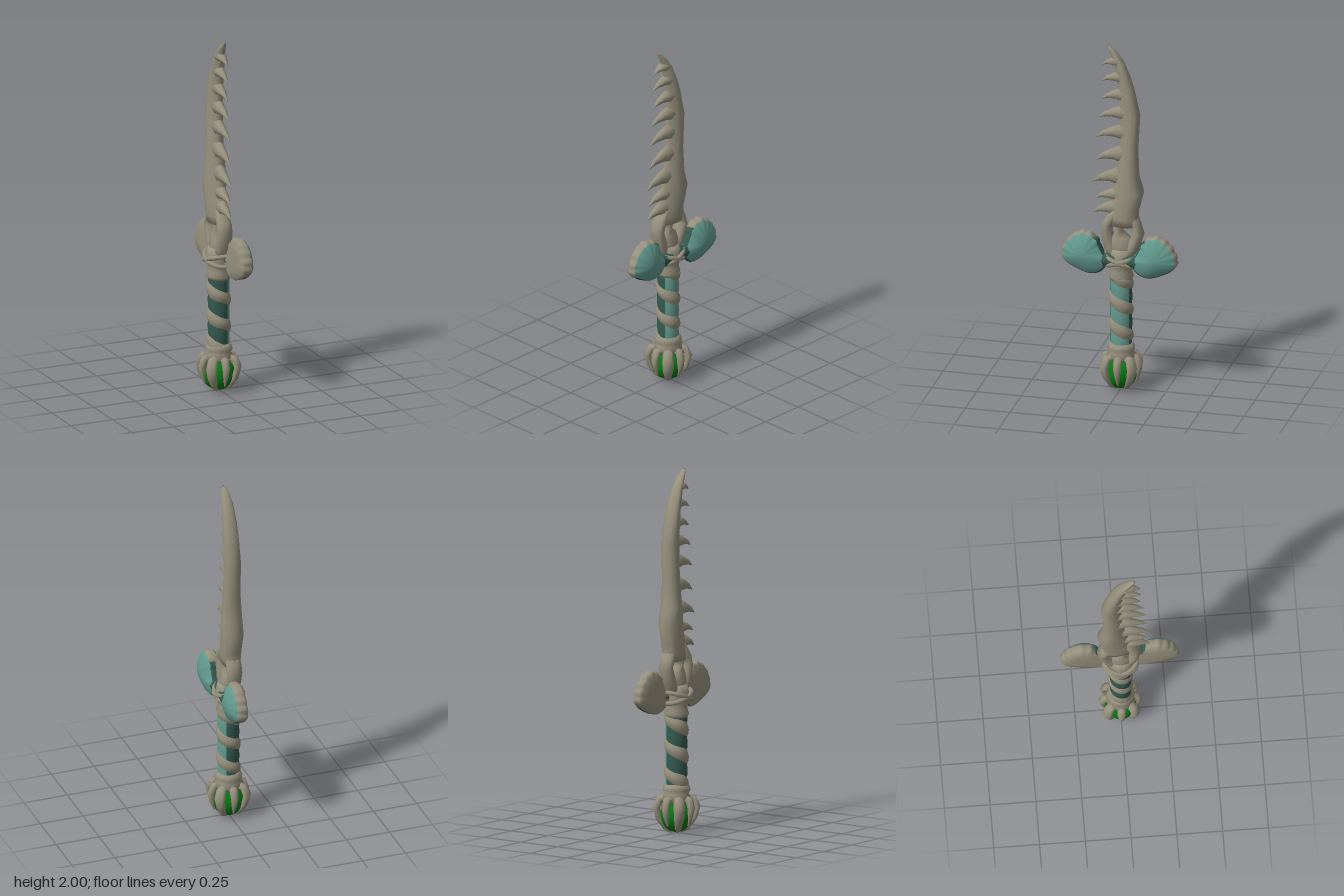
import * as THREE from 'three';

const mat = (name, color) => Object.assign(new THREE.MeshStandardMaterial({ color }), { name });
const V = (x, y, z) => new THREE.Vector3(x, y, z);

// Skin a list of equal rings (counter-clockwise about the travel direction), with optional end caps
function loft(rings, capStart = true, capEnd = true) {
  const n = rings[0].length, pos = [], idx = [];
  rings.forEach(r => r.forEach(p => pos.push(p.x, p.y, p.z)));
  for (let i = 0; i < rings.length - 1; i++) for (let j = 0; j < n; j++) {
    const k = (j + 1) % n, a = i * n + j, b = i * n + k, c = b + n, d = a + n;
    idx.push(a, b, c, a, c, d);
  }
  const cap = (i, flip) => {
    const m = rings[i].reduce((s, p) => s.add(p), V(0, 0, 0)).divideScalar(n), c = pos.length / 3;
    pos.push(m.x, m.y, m.z);
    for (let j = 0; j < n; j++) {
      const a = i * n + j, b = i * n + (j + 1) % n;
      if (flip) idx.push(c, b, a); else idx.push(c, a, b);
    }
  };
  if (capStart) cap(0, true);
  if (capEnd) cap(rings.length - 1, false);
  return finish(pos, idx);
}

function finish(pos, idx) {
  const g = new THREE.BufferGeometry();
  g.setAttribute('position', new THREE.Float32BufferAttribute(pos, 3));
  g.setIndex(idx);
  g.computeVertexNormals();
  return g;
}

// Horn-like solid along a path; radii are [along side, across it]
function horn(path, radii, side, sides = 8) {
  const rings = path.map((p, i) => {
    const t = path[Math.min(i + 1, path.length - 1)].clone().sub(path[Math.max(i - 1, 0)]).normalize();
    const nrm = t.clone().cross(side).normalize();
    return Array.from({ length: sides }, (_, j) => {
      const a = j / sides * Math.PI * 2;
      return p.clone().addScaledVector(side, radii[i][0] * Math.cos(a)).addScaledVector(nrm, radii[i][1] * Math.sin(a));
    });
  });
  return loft(rings);
}

// Helical strip wound down the grip, limited to the angles that pass the test
function helix(centre, half, bulge, keep = () => true) {
  const pos = [], idx = [], U = 120, W = 4, pitch = 0.15;
  const angle = i => (-1 + 5 * i / U) * Math.PI * 2;
  for (let i = 0; i <= U; i++) for (let j = 0; j <= W; j++) {
    const a = angle(i), v = j / W;
    // the wrap narrows on the flanks
    const h = half(a), y = centre - pitch * a / (Math.PI * 2) + (v * 2 - 1) * h;
    const r = 0.058 + bulge * Math.sin(v * Math.PI);
    pos.push(r * Math.sin(a), Math.min(0.66, Math.max(0.25, y)), r * Math.cos(a));
  }
  for (let i = 0; i < U; i++) if (keep(angle(i + 0.5))) for (let j = 0; j < W; j++) {
    const a = i * (W + 1) + j, b = a + W + 1;
    idx.push(a, b, b + 1, a, b + 1, a + 1);
  }
  return finish(pos, idx);
}

export function createModel() {
  const root = new THREE.Group();
  root.name = 'boneSword';
  const bone = mat('bone', 0x96907d), teal = mat('light teal', 0x639a8f);
  const dark = mat('dark teal', 0x34594f), green = mat('green gem', 0x067612);
  const group = (name, parent = root) => {
    const g = new THREE.Group();
    g.name = name;
    parent.add(g);
    return g;
  };
  const add = (name, geo, m, parent = root) => {
    const mesh = new THREE.Mesh(geo, m);
    mesh.name = name;
    parent.add(mesh);
    return mesh;
  };

  // Blade: [y, toothed edge z, back edge z, half thickness]
  const blade = [
    [0.955, 0.085, -0.1, 0.044], [1.0, 0.075, -0.1, 0.052], [1.05, 0.062, -0.1, 0.054], [1.16, 0.045, -0.127, 0.058],
    [1.25, 0.03, -0.1, 0.056], [1.4, 0.012, -0.094, 0.046], [1.6, 0.008, -0.106, 0.045], [1.74, 0.014, -0.075, 0.042],
    [1.82, 0.022, -0.05, 0.039], [1.9, 0.042, -0.018, 0.032], [1.96, 0.062, 0.022, 0.023], [2, 0.082, 0.062, 0.01]];
  add('blade', loft(blade.map(([y, f, b, t]) => Array.from({ length: 14 }, (_, j) => {
    const a = j / 14 * Math.PI * 2, c = Math.cos(a);
    return V(t * Math.sin(a) * (1 - 0.3 * c), y, (f + b) / 2 + (f - b) / 2 * c);
  }))), bone);
  const edgeAt = y => {
    const i = Math.max(1, blade.findIndex(r => r[0] >= y)), [p, q] = [blade[i - 1], blade[i]];
    return p[1] + (q[1] - p[1]) * (y - p[0]) / (q[0] - p[0]);
  };

  // Hooked teeth: [tip z, tip y, size]
  const teeth = group('teeth');
  [[0.11, 1.885, 0.026], [0.115, 1.79, 0.03], [0.112, 1.685, 0.033], [0.13, 1.575, 0.036], [0.143, 1.46, 0.038],
    [0.145, 1.325, 0.042], [0.165, 1.195, 0.042], [0.15, 1.1, 0.032], [0.162, 1.015, 0.036]].forEach(([z, y, h]) => {
    const z0 = edgeAt(y + h) - 0.03, d = z - z0;
    add('tooth', horn(
      [V(0, y + h * 1.15, z0), V(0, y + h * 1.0, z0 + d * 0.4), V(0, y + h * 0.65, z0 + d * 0.72), V(0, y, z)],
      [[0.036, h * 1.4], [0.026, h * 0.78], [0.014, h * 0.42], [0.001, 0.001]], V(1, 0, 0)), bone, teeth);
  });

  // Three bony struts with openings between them, joining the blade to the hilt: [z, y, half x, half z]
  const struts = group('struts');
  [[[0.02, 0.76, 0.04, 0.035], [0.06, 0.83, 0.045, 0.036], [0.083, 0.92, 0.045, 0.032], [0.072, 0.965, 0.045, 0.03], [0.03, 1.04, 0.035, 0.025]],
    [[0, 0.76, 0.05, 0.05], [0, 0.84, 0.05, 0.07], [0.006, 0.885, 0.042, 0.055], [0.012, 0.92, 0.036, 0.02], [0.012, 0.955, 0.04, 0.035], [0, 1.03, 0.04, 0.04]],
    [[-0.02, 0.76, 0.04, 0.035], [-0.065, 0.83, 0.045, 0.036], [-0.098, 0.92, 0.045, 0.031], [-0.084, 0.965, 0.045, 0.028], [-0.055, 1.04, 0.04, 0.03]],
  ].forEach(s => add('strut', horn(s.map(([z, y]) => V(0, y, z)), s.map(p => [p[2], p[3]]), V(1, 0, 0), 10), bone, struts));

  // Turned bone collar above the grip and neck below it
  const lathe = pts => new THREE.LatheGeometry(pts.map(p => new THREE.Vector2(...p)), 14);
  add('collar', lathe([[0, 0.64], [0.06, 0.64], [0.068, 0.66], [0.06, 0.69], [0.063, 0.72], [0.072, 0.77], [0.06, 0.82], [0, 0.83]]), bone);
  add('neck', lathe([[0, 0.17], [0.06, 0.17], [0.084, 0.2], [0.066, 0.218], [0.077, 0.24], [0.07, 0.262], [0.057, 0.275], [0, 0.275]]), bone);

  // Grip bound in alternating bands, the wrap worn lighter on one flank
  const worn = a => Math.sin(a) > 0.6;
  const wrapHalf = a => 0.043 - 0.007 * Math.sin(a) ** 2, boneHalf = a => 0.075 - wrapHalf(a);
  add('gripWrap', helix(0.62, wrapHalf, 0.002, a => !worn(a)), dark);
  add('gripWrapWorn', helix(0.62, wrapHalf, 0.002, worn), teal);
  add('gripBone', helix(0.695, boneHalf, 0.01), bone);

  // Scalloped shell on each side of the hilt
  const shell = [[0.065, 0.76], [0.095, 0.81], [0.127, 0.88], [0.165, 0.91], [0.217, 0.915], [0.27, 0.885], [0.307, 0.835],
    [0.322, 0.78], [0.305, 0.738], [0.243, 0.7], [0.165, 0.675], [0.11, 0.688], [0.075, 0.725]];
  const curve = new THREE.CatmullRomCurve3(shell.map(([z, y]) => V(0, y, z)), true);
  const rim = curve.getSpacedPoints(60).slice(0, 60).map((p, i) => {
    const c = V(0, 0.79, 0.2), lobed = p.y > 0.75 && p.z > 0.11;
    return p.sub(c).multiplyScalar(lobed ? 0.96 + 0.07 * Math.abs(Math.sin(i * Math.PI / 4)) : 1).add(c);
  });
  for (const s of [1, -1]) {
    const wing = group(s > 0 ? 'frontShell' : 'backShell');
    // Rings of the shell: [scale, x] on the scalloped rim, the underside and the root
    const ring = (top, low = top, inner = low) => {
      const r = rim.map(p => {
        const [k, x] = p.z < 0.13 ? inner : p.y < 0.725 ? low : top;
        return V(x, 0.79 + (p.y - 0.79) * k, s * (0.2 + (p.z - 0.2) * k));
      });
      return s > 0 ? r : r.reverse();
    };
    const edge = ring([0.93, 0.058], [1, 0.03], [0.95, 0.002]), lip = ring([0.93, 0.058]);
    add('shellBack', loft([ring([0.5, -0.005]), ring([0.9, 0]), ring([1, 0.015], [1, 0.015], [0.93, 0.001]),
      ring([1, 0.046], [1, 0.028], [0.94, 0.0015]), edge], true, false), bone, wing);
    add('shellUnderside', loft([edge, ring([0.93, 0.058], [1, 0.046]), lip], false, false), dark, wing);
    add('shellFace', loft([lip, ring([0.8, 0.07]), ring([0.5, 0.086]), ring([0.2, 0.094])], false, true), teal, wing);
  }
  const bridge = add('shellBridge', new THREE.CylinderGeometry(0.038, 0.038, 0.22, 8), dark);
  bridge.rotation.x = Math.PI / 2;
  bridge.position.set(0.035, 0.76, 0);

  // Crossed cords lashing the shells to the hilt
  for (const s of [1, -1]) {
    const pts = Array.from({ length: 16 }, (_, i) => {
      const a = i / 16 * Math.PI * 2;
      return V(0.076 * Math.sin(a), 0.757 + s * 0.03 * Math.cos(a), 0.09 * Math.cos(a));
    });
    add('cord', new THREE.TubeGeometry(new THREE.CatmullRomCurve3(pts, true), 40, 0.013, 6, true), bone);
  }

  // Gem held by eight claws, alternately short and long
  const gem = add('gem', new THREE.SphereGeometry(0.09, 20, 14), green);
  gem.position.y = 0.096;
  const claws = group('claws');
  const claw = (path, radii) => horn(path.map(([r, y]) => V(0, y, r)), radii, V(1, 0, 0));
  const short = claw([[0.045, 0.195], [0.085, 0.19], [0.1, 0.145], [0.094, 0.1], [0.08, 0.045]],
    [[0.02, 0.018], [0.024, 0.021], [0.022, 0.02], [0.016, 0.016], [0.004, 0.005]]);
  const long = claw([[0.045, 0.195], [0.092, 0.19], [0.112, 0.145], [0.097, 0.085], [0.06, 0.03], [0.025, 0.006]],
    [[0.022, 0.018], [0.029, 0.021], [0.032, 0.02], [0.027, 0.018], [0.017, 0.014], [0.005, 0.005]]);
  for (let i = 0; i < 8; i++) add('claw', i % 2 ? long : short, bone, claws).rotation.y = i * Math.PI / 4;

  return root;
}
